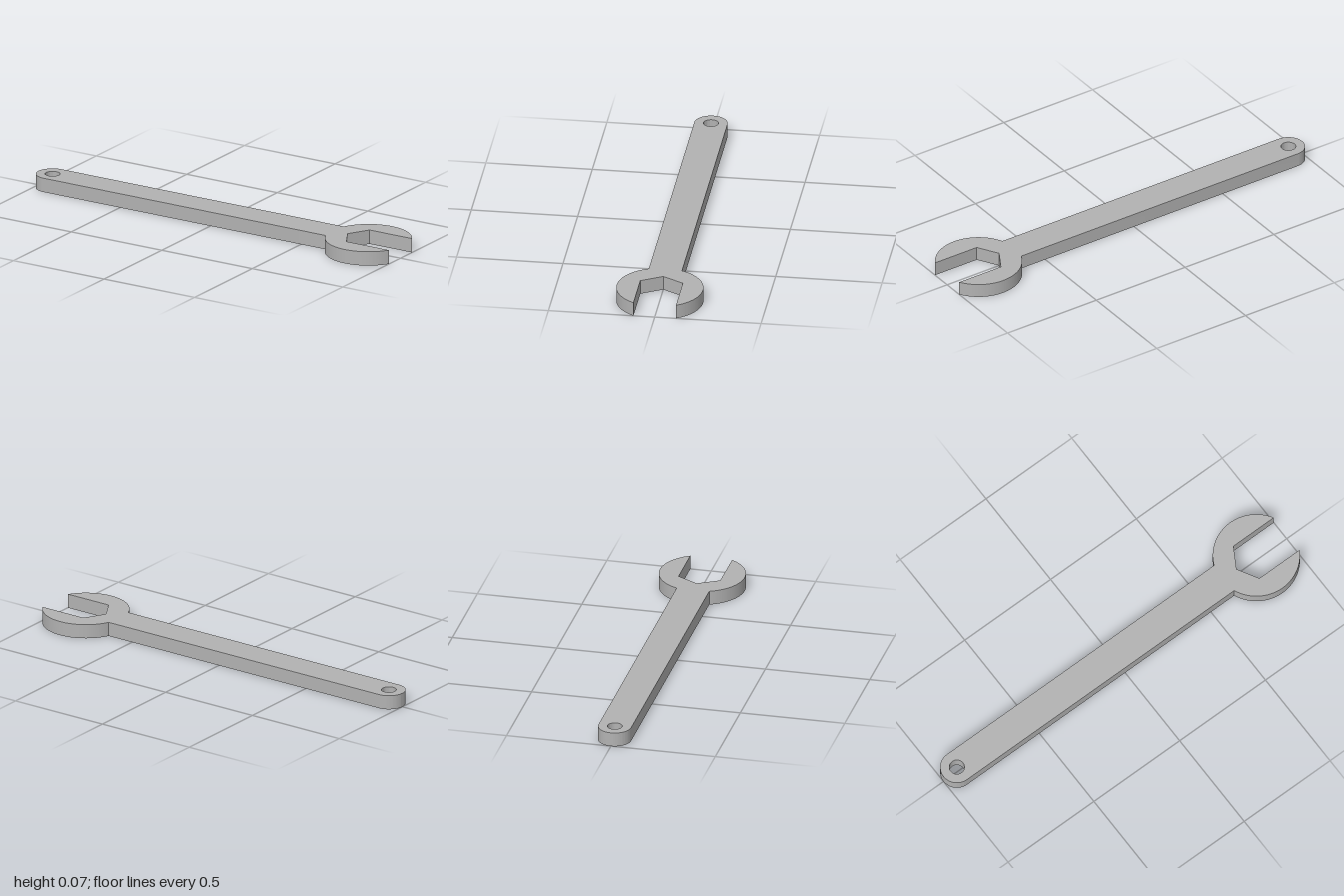
import * as THREE from 'three';
import { toCreasedNormals } from 'three/addons/utils/BufferGeometryUtils.js';

const THICKNESS = 0.068;
const HANDLE = { x: -0.922, half: 0.078, hole: 0.035 };
const HEAD = { x: 0.823, radius: 0.203, jaw: 0.1 };

// Outline of the whole tool, counter-clockwise from the rounded tail
function spannerShape() {
  const shape = new THREE.Shape();
  const neck = Math.asin(HANDLE.half / HEAD.radius);
  const tip = Math.asin(HEAD.jaw / HEAD.radius);
  const hexRadius = HEAD.jaw / Math.cos(Math.PI / 6);

  // Rounded tail, then along the handle to the lower jaw
  shape.absarc(HANDLE.x, 0, HANDLE.half, Math.PI / 2, Math.PI * 1.5, false);
  shape.absarc(HEAD.x, 0, HEAD.radius, Math.PI + neck, Math.PI * 2 - tip, false);

  // Hexagonal mouth, open at the tip
  shape.lineTo(HEAD.x - hexRadius / 2, -HEAD.jaw);
  shape.lineTo(HEAD.x - hexRadius, 0);
  shape.lineTo(HEAD.x - hexRadius / 2, HEAD.jaw);

  // Upper jaw back to the handle
  shape.absarc(HEAD.x, 0, HEAD.radius, tip, Math.PI - neck, false);
  shape.closePath();

  // Hanging hole
  const hole = new THREE.Path();
  hole.absarc(HANDLE.x, 0, HANDLE.hole, 0, Math.PI * 2, true);
  shape.holes.push(hole);
  return shape;
}

export function createModel() {
  const steel = new THREE.MeshStandardMaterial({ color: 0xb2b2b2 });
  steel.name = 'grey steel';

  const extruded = new THREE.ExtrudeGeometry(spannerShape(), {
    depth: THICKNESS,
    bevelEnabled: false,
    curveSegments: 40,
  });
  extruded.rotateX(-Math.PI / 2); // lay flat on the ground
  const body = new THREE.Mesh(toCreasedNormals(extruded, Math.PI / 7), steel);
  body.name = 'spannerBody';

  const group = new THREE.Group();
  group.name = 'openEndSpanner';
  group.add(body);
  return group;
}
